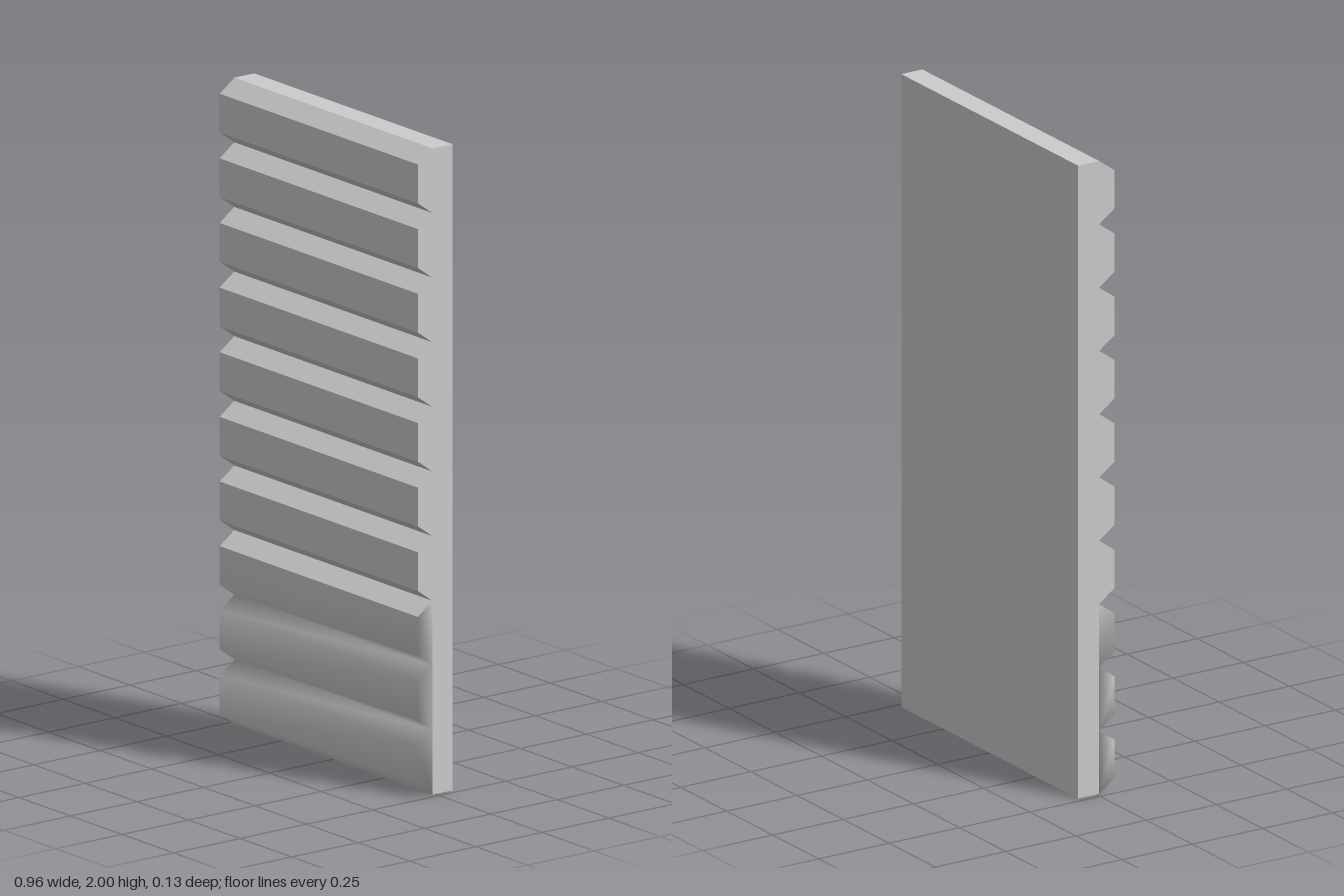
import * as THREE from 'three';

const HALF = 0.48, BACK = -0.065, VALLEY = 0.01, FACE = 0.065;
const PITCH = 0.2, BEVEL = 0.04, COUNT = 10, SOFT = 3;

// Cross-section of one rib as [z, y], from lower valley to upper valley
const ribProfile = (y) => [
  [VALLEY, y], [FACE, y + BEVEL], [FACE, y + PITCH - BEVEL], [VALLEY, y + PITCH],
];

// Crisp rib extruded across the panel width
function crispRib(y) {
  const shape = new THREE.Shape(ribProfile(y).map(([z, h]) => new THREE.Vector2(z, h)));
  const geometry = new THREE.ExtrudeGeometry(shape, { depth: 2 * HALF, bevelEnabled: false });
  return geometry.rotateY(-Math.PI / 2).translate(HALF, 0, 0);
}

// Continuous front strip with shared vertices, so the ribs shade softly
function softRibs(count) {
  const points = [[VALLEY, 0]];
  for (let i = 0; i < count; i++) points.push(...ribProfile(i * PITCH).slice(1));
  const positions = [], index = [];
  points.forEach(([z, y]) => positions.push(-HALF, y, z, HALF, y, z));
  // Front faces; the topmost bevel is left for a separate crisp strip
  for (let i = 0; i < points.length - 2; i++) {
    const a = 2 * i;
    index.push(a, a + 1, a + 3, a, a + 3, a + 2);
  }
  // Rib ends on both sides
  for (let r = 0; r < count; r++) {
    const [a, b, c, d] = [0, 2, 4, 6].map((k) => 6 * r + k);
    index.push(a, b, c, a, c, d);
    index.push(a + 1, d + 1, c + 1, a + 1, c + 1, b + 1);
  }
  const geometry = new THREE.BufferGeometry();
  geometry.setAttribute('position', new THREE.Float32BufferAttribute(positions, 3));
  geometry.setIndex(index);
  geometry.computeVertexNormals();
  return geometry;
}

// Crisp sloping strip from the rib face up to the valley
function topBevel(y) {
  const geometry = new THREE.BufferGeometry();
  geometry.setAttribute('position', new THREE.Float32BufferAttribute([
    -HALF, y - BEVEL, FACE, HALF, y - BEVEL, FACE, HALF, y, VALLEY, -HALF, y, VALLEY,
  ], 3));
  geometry.setIndex([0, 1, 2, 0, 2, 3]);
  geometry.computeVertexNormals();
  return geometry;
}

export function createModel() {
  const group = new THREE.Group();
  group.name = 'ribbedPanel';
  const material = new THREE.MeshStandardMaterial({ color: 0xcccccc });
  const add = (name, geometry) => {
    const mesh = new THREE.Mesh(geometry, material);
    mesh.name = name;
    group.add(mesh);
  };

  // Flat backing board
  const height = COUNT * PITCH;
  add('backBoard', new THREE.BoxGeometry(2 * HALF, height, VALLEY - BACK)
    .translate(0, height / 2, (VALLEY + BACK) / 2));

  // Softly shaded lower ribs, then crisp ribs up to the top
  add('lowerRibs', softRibs(SOFT));
  add('lowerRibsTopBevel', topBevel(SOFT * PITCH));
  for (let i = SOFT; i < COUNT; i++) add(`rib${i + 1}`, crispRib(i * PITCH));

  return group;
}
